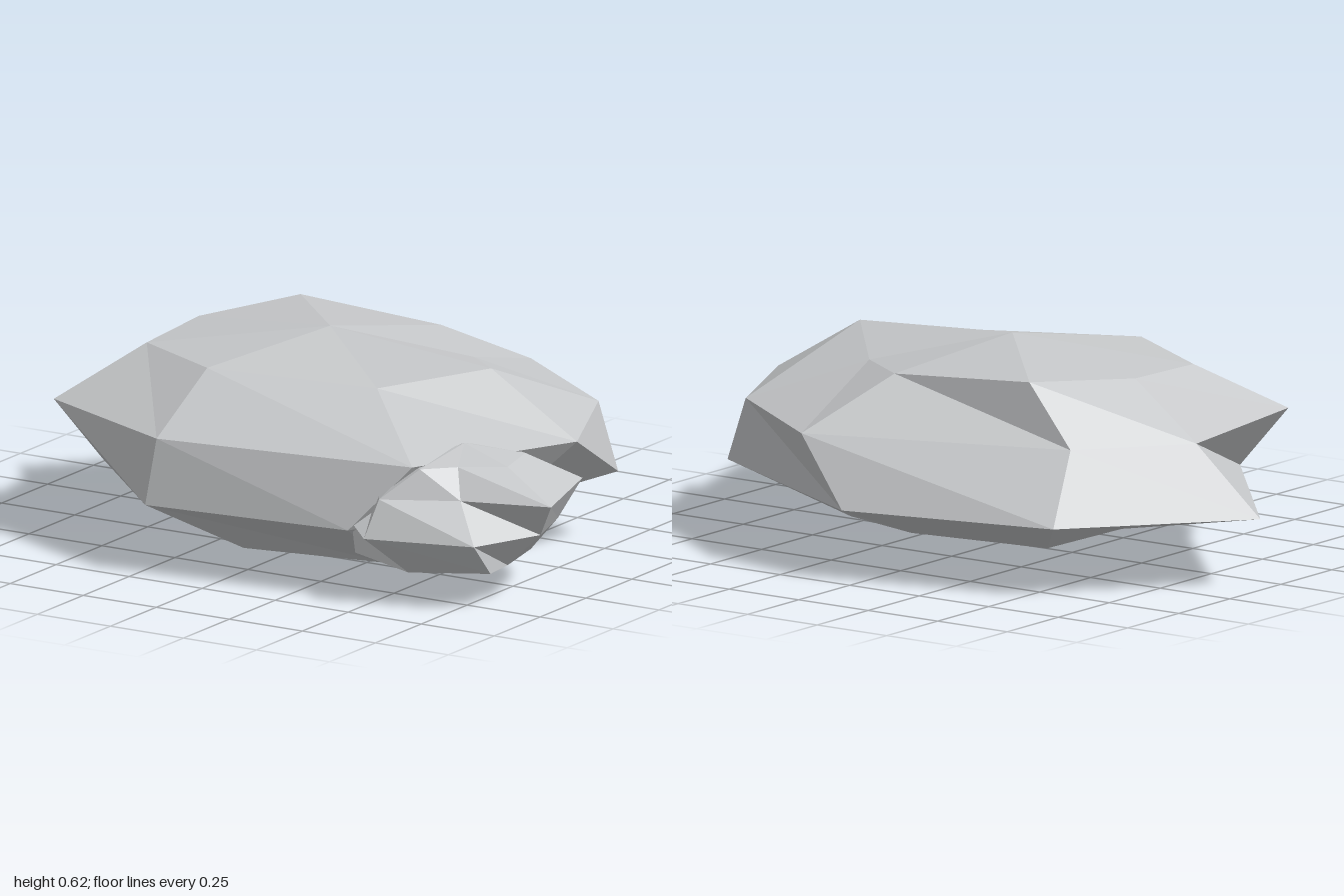
import * as THREE from 'three';

// Builds a faceted boulder from stacked eight-sided cross-sections.
// Each ring is [height, [x, z, optional height offset] corners from -x through +z to +x and back].
function boulder(name, top, bottom, rings, material) {
  const loops = rings.map(([y, pts]) => pts.map(([x, z, dy = 0]) => [x, y + dy, z]));
  const pos = [];
  const tri = (a, b, c) => pos.push(...a, ...b, ...c);
  const n = loops[0].length;
  for (let k = 0; k < n; k++) {
    const j = (k + 1) % n;
    tri(top, loops[0][k], loops[0][j]);
    for (let r = 0; r < loops.length - 1; r++) {
      const u = loops[r], l = loops[r + 1];
      tri(u[k], l[j], u[j]);
      tri(u[k], l[k], l[j]);
    }
    const last = loops[loops.length - 1];
    tri(bottom, last[j], last[k]);
  }
  const geometry = new THREE.BufferGeometry();
  geometry.setAttribute('position', new THREE.Float32BufferAttribute(pos, 3));
  geometry.computeVertexNormals(); // unshared corners give flat facets
  const mesh = new THREE.Mesh(geometry, material);
  mesh.name = name;
  return mesh;
}

export function createModel() {
  const group = new THREE.Group();
  group.name = 'rocks';
  const stone = new THREE.MeshStandardMaterial({ color: 0xc6c8ca });
  stone.name = 'light grey stone';

  // Wide flat boulder with a pointed side and a notch at the back
  group.add(boulder('largeRock', [-0.02, 0.62, 0.02], [-0.02, 0, 0.02], [
    [0.55, [[-0.52, -0.06, 0.01], [-0.51, 0.24], [-0.19, 0.42, 0.01], [0.31, 0.29, -0.01],
      [0.55, 0.05, 0.03], [0.34, -0.19, -0.02], [0.11, -0.38], [-0.36, -0.36, 0.03]]],
    [0.405, [[-0.77, -0.1], [-0.69, 0.46], [-0.2, 0.68], [0.6, 0.56],
      [0.85, 0.06], [0.66, -0.36], [0.24, -0.66], [-0.53, -0.39]]],
    [0.21, [[-1, -0.1], [-0.56, 0.4, 0.02], [-0.22, 0.71], [0.43, 0.64],
      [0.66, 0.14], [0.74, -0.34], [0.05, -0.72], [-0.6, -0.57]]],
    [0.06, [[-0.45, -0.03, 0.04], [-0.36, 0.25, 0.03], [-0.04, 0.46, -0.01], [0.38, 0.35, -0.02],
      [0.51, 0.05], [0.37, -0.24, 0.01], [0.065, -0.36, 0.02], [-0.38, -0.3, 0.02]]],
  ], stone));

  // Small boulder set into the front corner
  group.add(boulder('smallRock', [0.64, 0.435, 0.34], [0.6, 0.075, 0.33], [
    [0.4, [[0.55, 0.33], [0.57, 0.5], [0.62, 0.55], [0.7, 0.47],
      [0.82, 0.39], [0.78, 0.23], [0.7, 0.2], [0.6, 0.23]]],
    [0.315, [[0.42, 0.33], [0.46, 0.52], [0.53, 0.63], [0.74, 0.52],
      [1, 0.44], [0.9, 0.11], [0.7, 0.08], [0.5, 0.15]]],
    [0.205, [[0.42, 0.36], [0.43, 0.62, 0.025], [0.51, 0.68], [0.83, 0.59],
      [0.92, 0.37], [0.86, 0.18], [0.75, 0.06], [0.52, 0.15]]],
    [0.105, [[0.5, 0.36], [0.43, 0.6, 0.03], [0.58, 0.55, -0.02], [0.83, 0.5],
      [0.82, 0.39], [0.78, 0.2], [0.7, 0.12], [0.56, 0.24]]],
  ], stone));

  return group;
}
